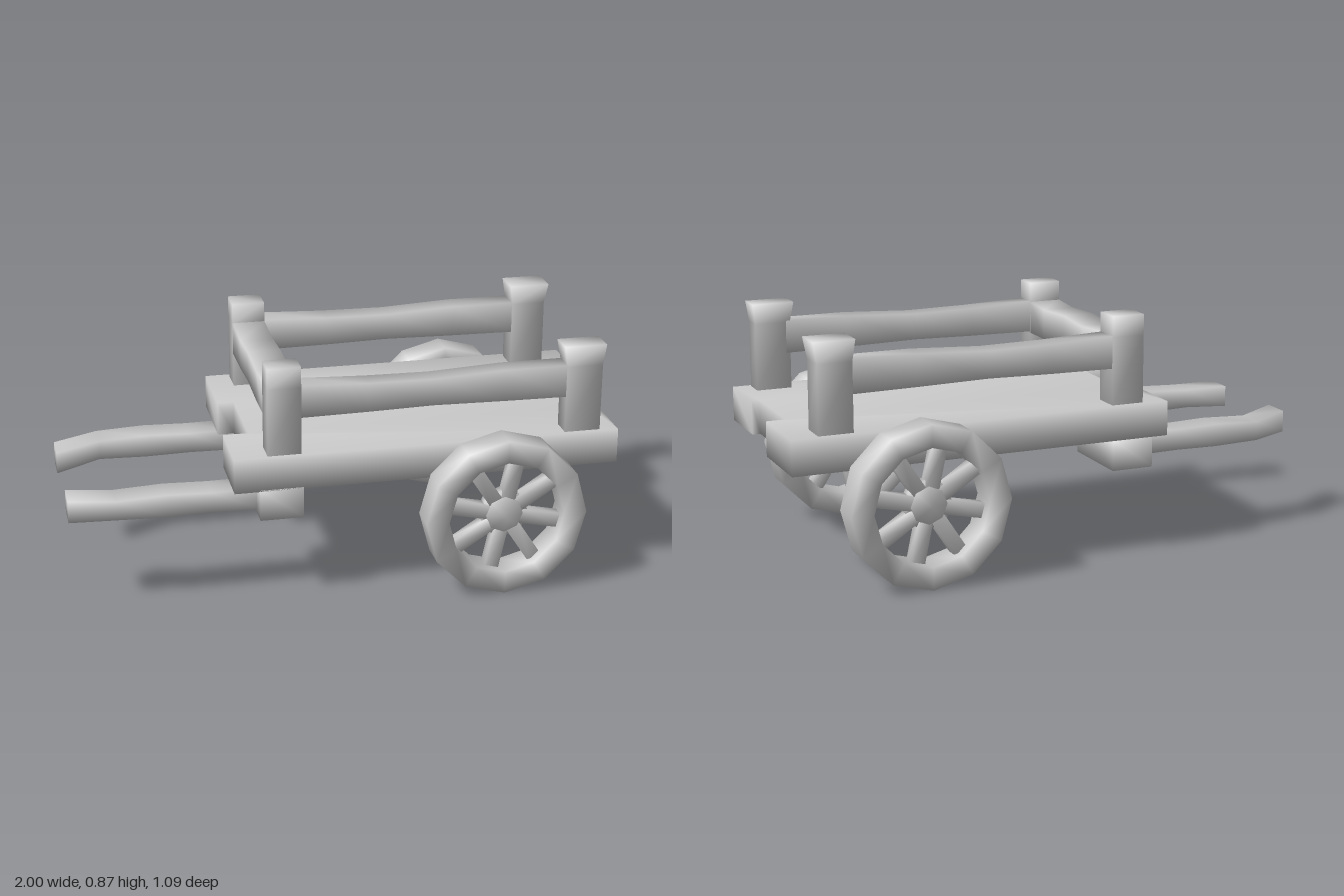
import * as THREE from 'three';
import { mergeVertices } from 'three/addons/utils/BufferGeometryUtils.js';

const material = new THREE.MeshStandardMaterial({ color: 0xcccccc });

// Weld corners so the shading runs softly across the low-poly edges
function soften(geometry) {
  geometry.deleteAttribute('normal');
  geometry.deleteAttribute('uv');
  const welded = mergeVertices(geometry, 1e-4);
  welded.computeVertexNormals();
  return welded;
}

function add(parent, name, geometry) {
  const mesh = new THREE.Mesh(geometry, material);
  mesh.name = name;
  parent.add(mesh);
  return mesh;
}

// Timber with rectangular sections [t, a0, a1, b0, b1] along an axis;
// a and b are the next two axes in x-y-z order.
function timber(axis, sections) {
  const k = 'xyz'.indexOf(axis);
  const positions = [];
  const index = [];
  for (const [t, a0, a1, b0, b1] of sections) {
    for (const [a, b] of [[a0, b0], [a1, b0], [a1, b1], [a0, b1]]) {
      const p = [0, 0, 0];
      p[k] = t;
      p[(k + 1) % 3] = a;
      p[(k + 2) % 3] = b;
      positions.push(...p);
    }
  }
  for (let s = 0; s < sections.length - 1; s++) {
    for (let i = 0; i < 4; i++) {
      const p = s * 4 + i;
      const q = s * 4 + (i + 1) % 4;
      index.push(p, q, q + 4, p, q + 4, p + 4);
    }
  }
  const e = (sections.length - 1) * 4;
  index.push(0, 3, 2, 0, 2, 1, e, e + 1, e + 2, e, e + 2, e + 3);
  const geometry = new THREE.BufferGeometry();
  geometry.setAttribute('position', new THREE.Float32BufferAttribute(positions, 3));
  geometry.setIndex(index);
  geometry.computeVertexNormals();
  return geometry;
}

// Ring or hub turned about the z axis
function turned(profile, sides) {
  const points = profile.map(([r, z]) => new THREE.Vector2(r, z));
  return soften(new THREE.LatheGeometry(points, sides).rotateX(Math.PI / 2));
}

function createWheel(name) {
  const wheel = new THREE.Group();
  wheel.name = name;
  const h = 0.055;
  add(wheel, 'rim', turned([[0.292, -h], [0.292, h], [0.21, h], [0.21, -h], [0.292, -h]], 12));
  add(wheel, 'hub', turned([[0, -0.035], [0.09, -0.03], [0.09, 0.01], [0, 0.05]], 8));
  for (let i = 0; i < 8; i++) {
    const spoke = add(wheel, 'spoke', timber('x', [
      [0.06, -0.026, 0.026, -0.025, 0.02],
      [0.23, -0.026, 0.026, -0.025, 0.02],
    ]));
    spoke.rotation.z = (i * Math.PI) / 4 - 0.21;
  }
  return wheel;
}

export function createModel() {
  const cart = new THREE.Group();
  cart.name = 'handcart';

  // Deck with side beams running past both ends
  const outline = [
    [-0.4, -0.42], [1, -0.42], [1, -0.13], [0.93, -0.13], [0.93, 0.18], [0.96, 0.18],
    [0.96, 0.42], [-0.43, 0.42], [-0.43, 0.18], [-0.34, 0.18], [-0.34, -0.13], [-0.4, -0.13],
  ];
  const deckShape = new THREE.Shape(outline.map(([x, z]) => new THREE.Vector2(x, z)));
  const deck = new THREE.ExtrudeGeometry(deckShape, { depth: 0.125, bevelEnabled: false });
  add(cart, 'deck', soften(deck.rotateX(Math.PI / 2).translate(0, 0.545, 0)));

  // Corner posts; those at the open end flare at the top
  for (const [name, x0, x1, z0, z1, flare] of [
    ['frontLeftPost', 0.765, 0.895, 0.325, 0.405, 0.012],
    ['backLeftPost', 0.775, 0.9, -0.4, -0.298, 0.012],
    ['frontRightPost', -0.31, -0.19, 0.315, 0.405, 0],
    ['backRightPost', -0.31, -0.19, -0.4, -0.298, 0],
  ]) {
    const zIn = z0 > 0 ? [z0 - flare, z1] : [z0, z1 + flare];
    add(cart, name, timber('y', [
      [0.54, z0, z1, x0, x1],
      [0.79, z0, z1, x0, x1],
      [0.865, ...zIn, x0 - flare, x1 + flare],
    ]));
  }

  // Uneven rails between the posts
  for (const [name, z0, z1] of [['frontRail', 0.32, 0.4], ['backRail', -0.395, -0.305]]) {
    add(cart, name, timber('x', [
      [-0.2, 0.677, 0.795, z0, z1],
      [0.05, 0.68, 0.785, z0, z1],
      [0.28, 0.685, 0.782, z0, z1],
      [0.54, 0.68, 0.795, z0, z1],
      [0.78, 0.677, 0.795, z0, z1],
    ]));
  }
  add(cart, 'endRail', timber('z', [
    [-0.3, -0.31, -0.19, 0.672, 0.793],
    [-0.13, -0.31, -0.19, 0.672, 0.782],
    [0.02, -0.31, -0.19, 0.682, 0.793],
    [0.19, -0.31, -0.19, 0.672, 0.784],
    [0.32, -0.31, -0.19, 0.672, 0.793],
  ]));

  // Blocks under the deck, each holding a bent handle
  for (const [side, z0, z1, h0, h1, bend] of [
    ['front', 0.18, 0.42, 0.248, 0.354, -0.022],
    ['back', -0.42, -0.125, -0.31, -0.203, 0.09],
  ]) {
    add(cart, side + 'HandleBlock', timber('x', [
      [-0.34, 0.31, 0.425, z0, z1],
      [-0.185, 0.31, 0.425, z0, z1],
    ]));
    add(cart, side + 'Handle', timber('x', [
      [-1, 0.325, 0.405, h0 + bend, h1 + bend],
      [-0.835, 0.33, 0.4, h0, h1],
      [-0.66, 0.325, 0.408, h0, h1],
      [-0.5, 0.328, 0.403, h0, h1],
      [-0.33, 0.325, 0.405, h0, h1],
    ]));
  }

  // Wheels
  const frontWheel = createWheel('frontWheel');
  frontWheel.position.set(0.52, 0.292, 0.487);
  const backWheel = createWheel('backWheel');
  backWheel.position.set(0.548, 0.292, -0.485);
  backWheel.rotation.y = Math.PI + 0.015;
  cart.add(frontWheel, backWheel);

  return cart;
}
